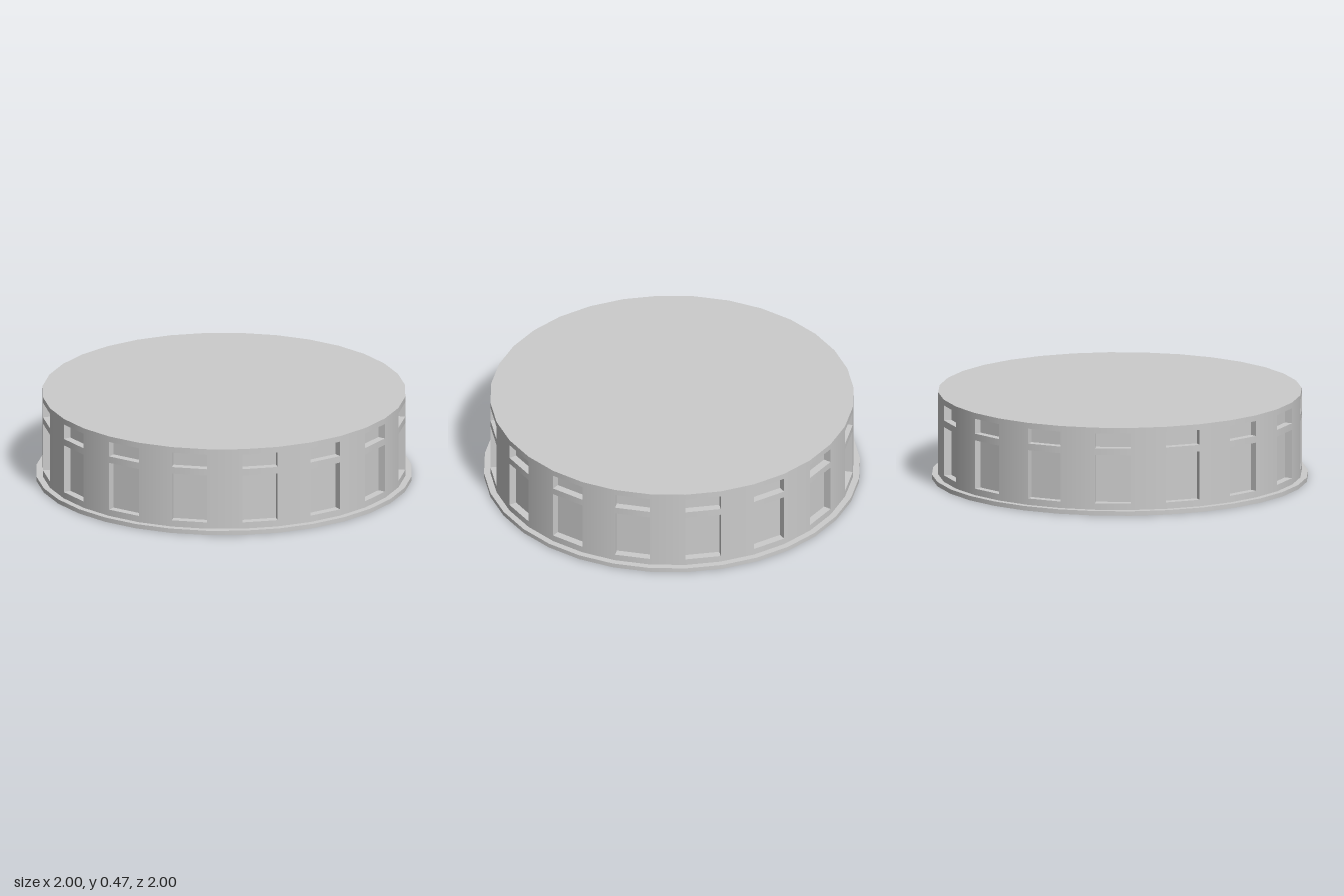
import * as THREE from 'three';

const SIDES = 32;
const STEP = (Math.PI * 2) / SIDES;
const R = 0.966;          // wall radius
const BASE_TOP = 0.024;
const TOP = 0.469;
const DEPTH = 0.042;      // window recess
const WINDOWS = { lowerWindows: [0.059, 0.321], upperWindows: [0.357, 0.438] };

const material = new THREE.MeshStandardMaterial({ color: 0xcccccc });
const dir = (a) => new THREE.Vector3(Math.sin(a), 0, Math.cos(a));
const at = (p, y) => new THREE.Vector3(p.x, y, p.z);

// Collects quads (corners counter-clockwise from outside); flat unless normals are given
function quadBuilder() {
  const pos = [], nor = [];
  return {
    quad(a, b, c, d, normals) {
      const flat = b.clone().sub(a).cross(d.clone().sub(a)).normalize();
      const n = normals || [flat, flat, flat, flat];
      const corners = [a, b, c, d];
      for (const i of [0, 1, 2, 0, 2, 3]) {
        pos.push(...corners[i].toArray());
        nor.push(...n[i].toArray());
      }
    },
    build() {
      const g = new THREE.BufferGeometry();
      g.setAttribute('position', new THREE.Float32BufferAttribute(pos, 3));
      g.setAttribute('normal', new THREE.Float32BufferAttribute(nor, 3));
      return g;
    },
  };
}

// Smooth round wall, leaving openings in every second facet
function wallGeometry() {
  const b = quadBuilder();
  const [lo, hi] = [WINDOWS.lowerWindows, WINDOWS.upperWindows];
  for (let i = 0; i < SIDES; i++) {
    const n0 = dir(i * STEP), n1 = dir((i + 1) * STEP);
    const p0 = n0.clone().multiplyScalar(R), p1 = n1.clone().multiplyScalar(R);
    const bands = i % 2
      ? [[BASE_TOP, lo[0]], [lo[1], hi[0]], [hi[1], TOP]]
      : [[BASE_TOP, TOP]];
    for (const [y0, y1] of bands) {
      b.quad(at(p0, y0), at(p1, y0), at(p1, y1), at(p0, y1), [n0, n1, n1, n0]);
    }
  }
  return b.build();
}

// Recessed pane with sill, head and two jambs for every second facet
function windowGeometry([y0, y1]) {
  const b = quadBuilder();
  for (let i = 1; i < SIDES; i += 2) {
    const inward = dir((i + 0.5) * STEP).multiplyScalar(-DEPTH);
    const p0 = dir(i * STEP).multiplyScalar(R), p1 = dir((i + 1) * STEP).multiplyScalar(R);
    const outer = [at(p0, y0), at(p1, y0), at(p1, y1), at(p0, y1)];
    const inner = outer.map((p) => p.clone().add(inward));
    b.quad(...inner);
    for (let k = 0; k < 4; k++) {
      const m = (k + 1) % 4;
      b.quad(outer[k], outer[m], inner[m], inner[k]);
    }
  }
  return b.build();
}

export function createModel() {
  const group = new THREE.Group();
  const add = (name, geometry, y = 0) => {
    const mesh = new THREE.Mesh(geometry, material);
    mesh.name = name;
    mesh.position.y = y;
    group.add(mesh);
  };

  // Base plinth
  add('basePlinth', new THREE.CylinderGeometry(1, 1, BASE_TOP, SIDES), BASE_TOP / 2);

  // Drum wall and its two rows of windows
  add('drumWall', wallGeometry());
  for (const name in WINDOWS) add(name, windowGeometry(WINDOWS[name]));

  // Flat roof
  add('roof', new THREE.CircleGeometry(R, SIDES).rotateX(-Math.PI / 2), TOP);

  return group;
}
